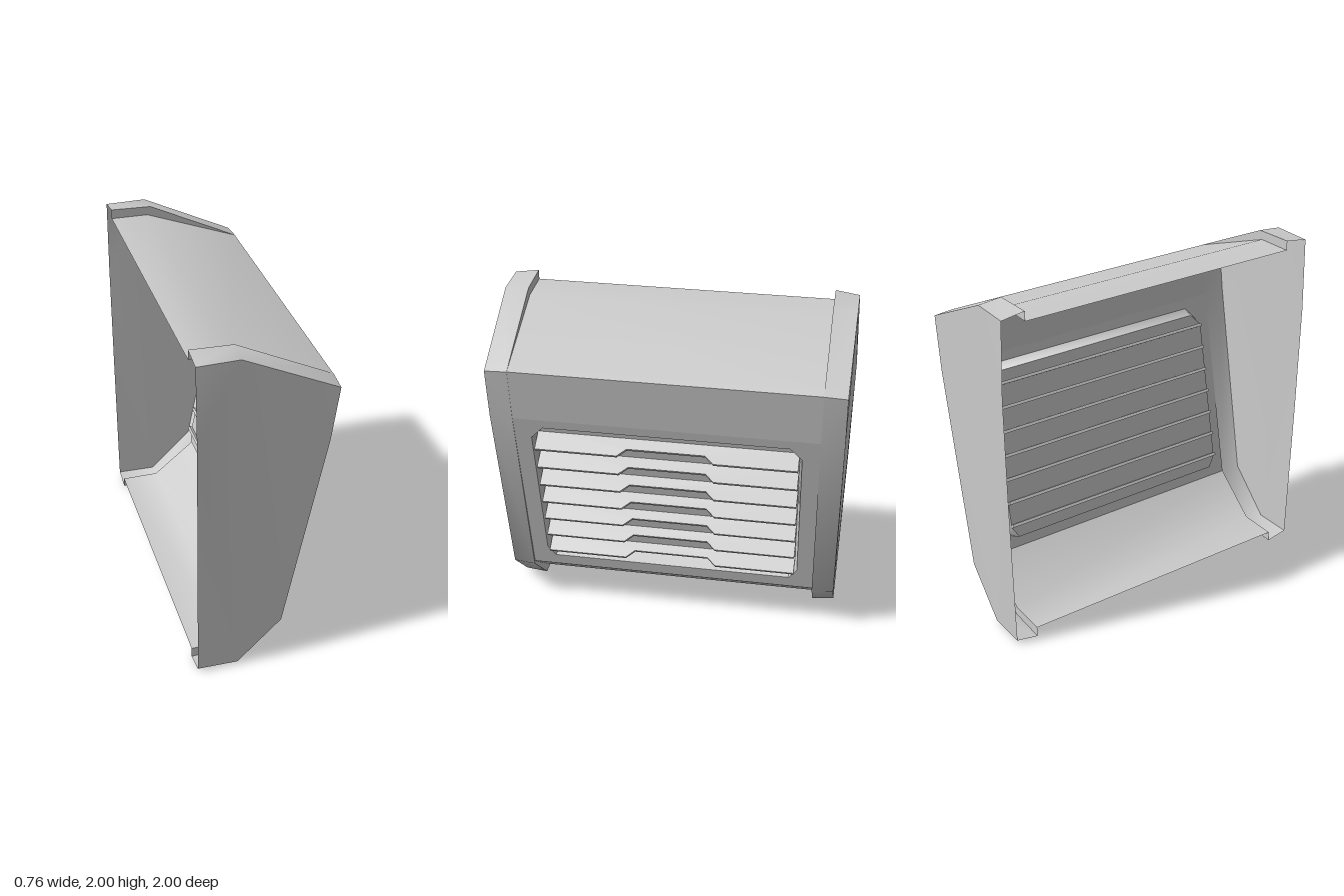
import * as THREE from 'three';
import { toCreasedNormals } from 'three/addons/utils/BufferGeometryUtils.js';

const material = new THREE.MeshStandardMaterial({ color: 0xcccccc, side: THREE.DoubleSide });

function addMesh(parent, name, geometry) {
  const mesh = new THREE.Mesh(geometry, material);
  mesh.name = name;
  parent.add(mesh);
  return mesh;
}

// Surface joining rows of matching points; skip lists segments left open
function loft(rows, skip = []) {
  const pos = [];
  for (let r = 0; r < rows.length - 1; r++) {
    const a = rows[r], b = rows[r + 1];
    for (let i = 0; i < a.length - 1; i++) {
      if (skip.includes(i)) continue;
      for (const p of [a[i], a[i + 1], b[i + 1], a[i], b[i + 1], b[i]]) pos.push(...p);
    }
  }
  const g = new THREE.BufferGeometry();
  g.setAttribute('position', new THREE.Float32BufferAttribute(pos, 3));
  return toCreasedNormals(g, 0.9);
}

// Profiles in x, y from the bottom back edge round the front to the top back edge
const shellProfile = [[-0.38, 0.06], [-0.16, 0.06], [0.1, 0.275], [0.34, 1.43], [0.379, 1.74], [-0.165, 1.943], [-0.38, 1.945]];
const rimProfile = [[-0.38, 0], [-0.145, 0.01], [0.11, 0.26], [0.342, 1.43], [0.38, 1.74], [-0.145, 1.993], [-0.38, 2]];
const edgeProfile = [[-0.38, 0.025, 0.98], [-0.15, 0.02, 0.98], [0.102, 0.268, 0.977], [0.333, 1.43, 0.98],
  [0.375, 1.733, 0.977], [-0.15, 1.983, 0.985], [-0.38, 1.98, 0.986]];
const SEAM = 0.85;
const at = (profile, z) => profile.map(([x, y]) => [x, y, z]);

// Sloping front plane: x for a given height
const panelX = (y) => 0.1 + (y - 0.275) * (0.24 / 1.155);

// Flat shape (across, height) laid onto the sloping front plane
function onPanel(shape, depth) {
  const g = new THREE.ShapeGeometry(shape);
  const p = g.attributes.position;
  for (let i = 0; i < p.count; i++) {
    const u = p.getX(i), y = p.getY(i);
    p.setXYZ(i, panelX(y) - depth, y, -u);
  }
  g.computeVertexNormals();
  return g;
}

// Rectangle with cut corners, counterclockwise
function cutCornerOutline(w, y0, y1, cutLow, cutHigh) {
  const right = [[w - cutLow[0], y0], [w, y0 + cutLow[1]], [w, y1 - cutHigh[1]], [w - cutHigh[0], y1]];
  return [...right, ...right.map(([u, y]) => [-u, y]).reverse()];
}
const toShape = (pts) => new THREE.Shape(pts.map(([u, y]) => new THREE.Vector2(u, y)));

function makeEnd() {
  const end = new THREE.Group();
  end.name = 'endPanel';
  addMesh(end, 'rimStep', loft([at(shellProfile, SEAM), at(rimProfile, SEAM)]));
  addMesh(end, 'rim', loft([at(rimProfile, SEAM), edgeProfile]));
  // Outer side, bulging slightly at the back edge
  const outline = [...edgeProfile, [-0.38, 1.55, 1], [-0.38, 0.9, 0.995]];
  const g = new THREE.ShapeGeometry(toShape(outline));
  const p = g.attributes.position;
  for (let i = 0; i < p.count; i++) {
    const match = outline.find(([x, y]) => Math.hypot(x - p.getX(i), y - p.getY(i)) < 1e-4);
    p.setZ(i, match[2]);
  }
  g.computeVertexNormals();
  addMesh(end, 'sidePlate', g);
  return end;
}

function makeSlat() {
  // Blade plan: across, outward, with a recessed middle on the front edge
  const g = new THREE.ExtrudeGeometry(toShape([[-0.737, -0.125], [0.737, -0.125], [0.737, 0], [0.27, 0],
    [0.22, -0.047], [-0.22, -0.047], [-0.27, 0], [-0.737, 0]]), { depth: 0.018, bevelEnabled: false });
  g.translate(0, 0, -0.018);
  const tilt = Math.atan(0.6), c = Math.cos(tilt), s = Math.sin(tilt);
  return g.applyMatrix4(new THREE.Matrix4().makeBasis(
    new THREE.Vector3(0, 0, 1), new THREE.Vector3(c, -s, 0), new THREE.Vector3(s, c, 0)));
}

export function createModel() {
  const model = new THREE.Group();
  model.name = 'louveredHousing';

  // Bent cover, open at the back and over the front panel
  addMesh(model, 'cover', loft([at(shellProfile, -SEAM), at(shellProfile, SEAM)], [2]));

  // Matching ends
  const left = makeEnd(), right = makeEnd();
  right.scale.z = -1;
  model.add(left, right);

  // Front panel with opening
  const opening = cutCornerOutline(0.755, 0.35, 1.375, [0.045, 0.07], [0.068, 0.075]);
  const inner = cutCornerOutline(0.738, 0.38, 1.362, [0.04, 0.065], [0.065, 0.07]);
  const front = toShape([[-SEAM, 0.275], [SEAM, 0.275], [SEAM, 1.43], [-SEAM, 1.43]]);
  front.holes.push(toShape(opening));
  addMesh(model, 'frontPanel', onPanel(front, 0));

  // Recess walls and back plate
  const DEPTH = 0.075;
  const ring = (pts, depth) => [...pts, pts[0]].map(([u, y]) => [panelX(y) - depth, y, -u]);
  addMesh(model, 'recessWall', loft([ring(opening, 0), ring(inner, DEPTH)]));
  addMesh(model, 'recessBack', onPanel(toShape(inner), DEPTH));

  // Louvre slats
  const slat = makeSlat();
  for (let i = 0; i < 7; i++) {
    addMesh(model, 'slat' + (i + 1), slat).position.set(0.336 - i * 0.0303, 1.24 - i * 0.138, 0);
  }
  return model;
}
